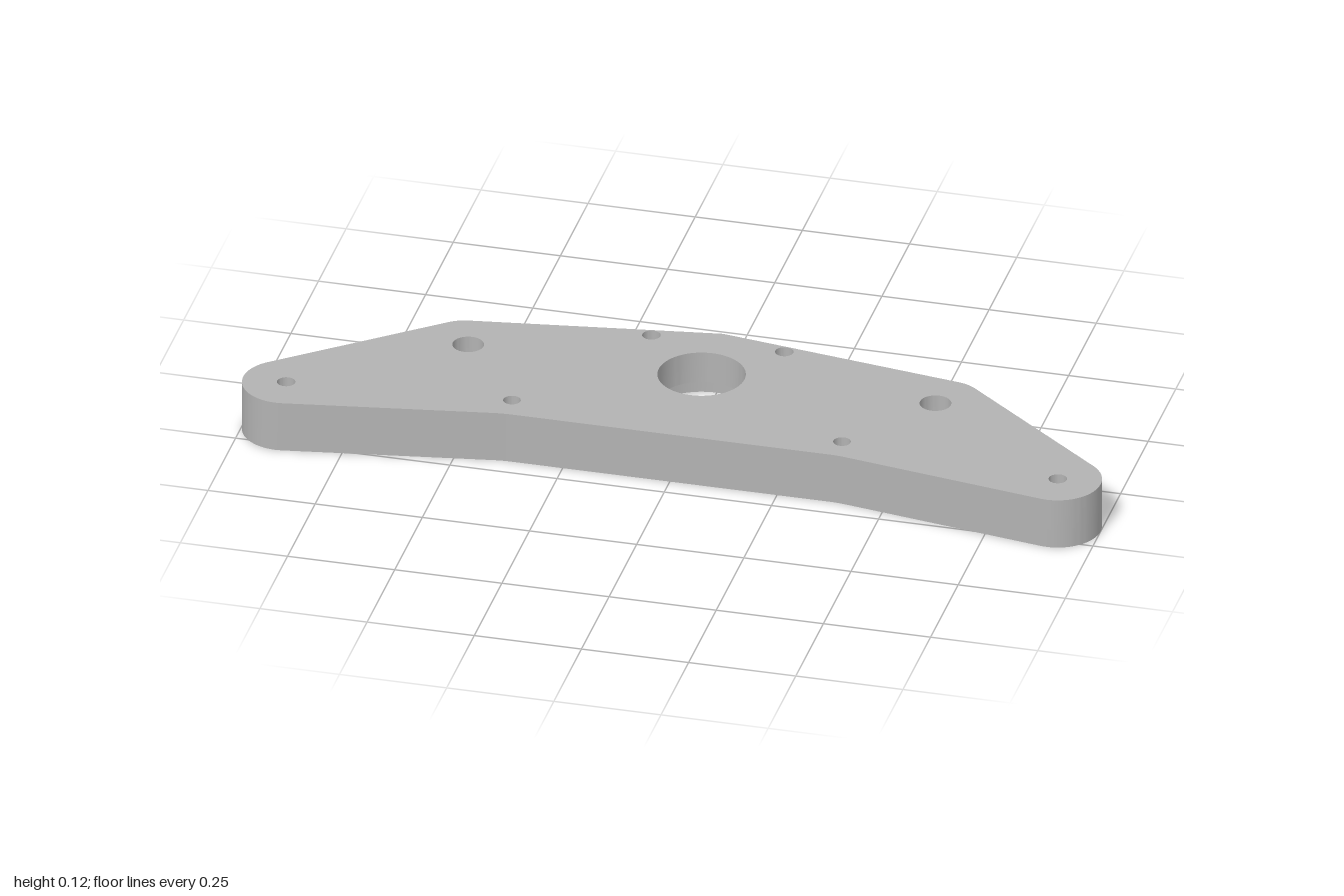
import * as THREE from 'three';
import { toCreasedNormals, mergeGeometries } from 'three/addons/utils/BufferGeometryUtils.js';

const HEIGHT = 0.122, LEDGE = 0.046;
const BORE = { x: 0, z: -0.088, r: 0.1 };
const COUNTERBORE = { x: 0, z: -0.088, r: 0.137 };
const HOLES = [[0.155, -0.235, 0.021], [0.545, -0.09, 0.036], [0.9, 0.18, 0.021], [0.385, 0.135, 0.02]];

// Plan outline, counter-clockwise seen from above (plan y = -z)
function outlinePoints() {
  const half = new THREE.Path();
  half.moveTo(0.37, -0.2);
  half.quadraticCurveTo(0.39, -0.2, 0.41, -0.203);
  half.absarc(0.9, -0.18, 0.1, -1.724, 0.893, false);
  half.lineTo(0.615, 0.178);
  half.quadraticCurveTo(0.597, 0.193, 0.572, 0.197);
  half.lineTo(0, 0.281);
  const right = half.getPoints(16);
  const left = right.slice(0, -1).reverse().map((p) => new THREE.Vector2(-p.x, p.y));
  return [...right, ...left];
}

// Clockwise circle, so that its wall faces inward
function circlePoints({ x, z, r }, n = 48) {
  return Array.from({ length: n }, (_, i) => {
    const a = (-i / n) * Math.PI * 2;
    return new THREE.Vector2(x + r * Math.cos(a), -z + r * Math.sin(a));
  });
}

// Upright wall along a closed loop
function wall(points, y0, y1) {
  const pos = [];
  points.forEach((a, i) => {
    const b = points[(i + 1) % points.length];
    const corners = [[a, y0], [b, y0], [b, y1], [a, y0], [b, y1], [a, y1]];
    for (const [p, y] of corners) pos.push(p.x, y, -p.y);
  });
  const g = new THREE.BufferGeometry();
  g.setAttribute('position', new THREE.Float32BufferAttribute(pos, 3));
  return toCreasedNormals(g, 0.3);
}

// Flat horizontal face with holes, facing up or down
function face(points, holes, y, down = false) {
  const shape = new THREE.Shape(points);
  shape.holes = holes.map((h) => new THREE.Path(h));
  const g = new THREE.ShapeGeometry(shape).rotateX(-Math.PI / 2).translate(0, y, 0);
  if (down) g.index.array.reverse();
  g.deleteAttribute('uv');
  return toCreasedNormals(g, 0.3);
}

export function createModel() {
  const group = new THREE.Group();
  group.name = 'mountingPlate';
  const grey = new THREE.MeshStandardMaterial({ color: 0xb2b2b2 });
  grey.name = 'grey';
  const add = (name, ...parts) => {
    const mesh = new THREE.Mesh(mergeGeometries(parts), grey);
    mesh.name = name;
    group.add(mesh);
  };

  const outline = outlinePoints();
  const bore = circlePoints(BORE, 64);
  const counterbore = circlePoints(COUNTERBORE, 64);
  const holes = HOLES.flatMap(([x, z, r]) => [1, -1].map((s) => circlePoints({ x: s * x, z, r }, 32)));

  // Plate body
  add('plate',
    wall(outline, 0, HEIGHT),
    face(outline, [bore, ...holes], HEIGHT),
    face(outline, [counterbore, ...holes], 0, true));

  // Stepped centre hole, wider underneath
  add('centreBore',
    wall(bore, LEDGE, HEIGHT),
    wall(counterbore, 0, LEDGE),
    face(counterbore, [bore], LEDGE, true));

  // Mirrored pairs of bolt holes
  add('boltHoles', ...holes.map((h) => wall(h, 0, HEIGHT)));

  return group;
}
